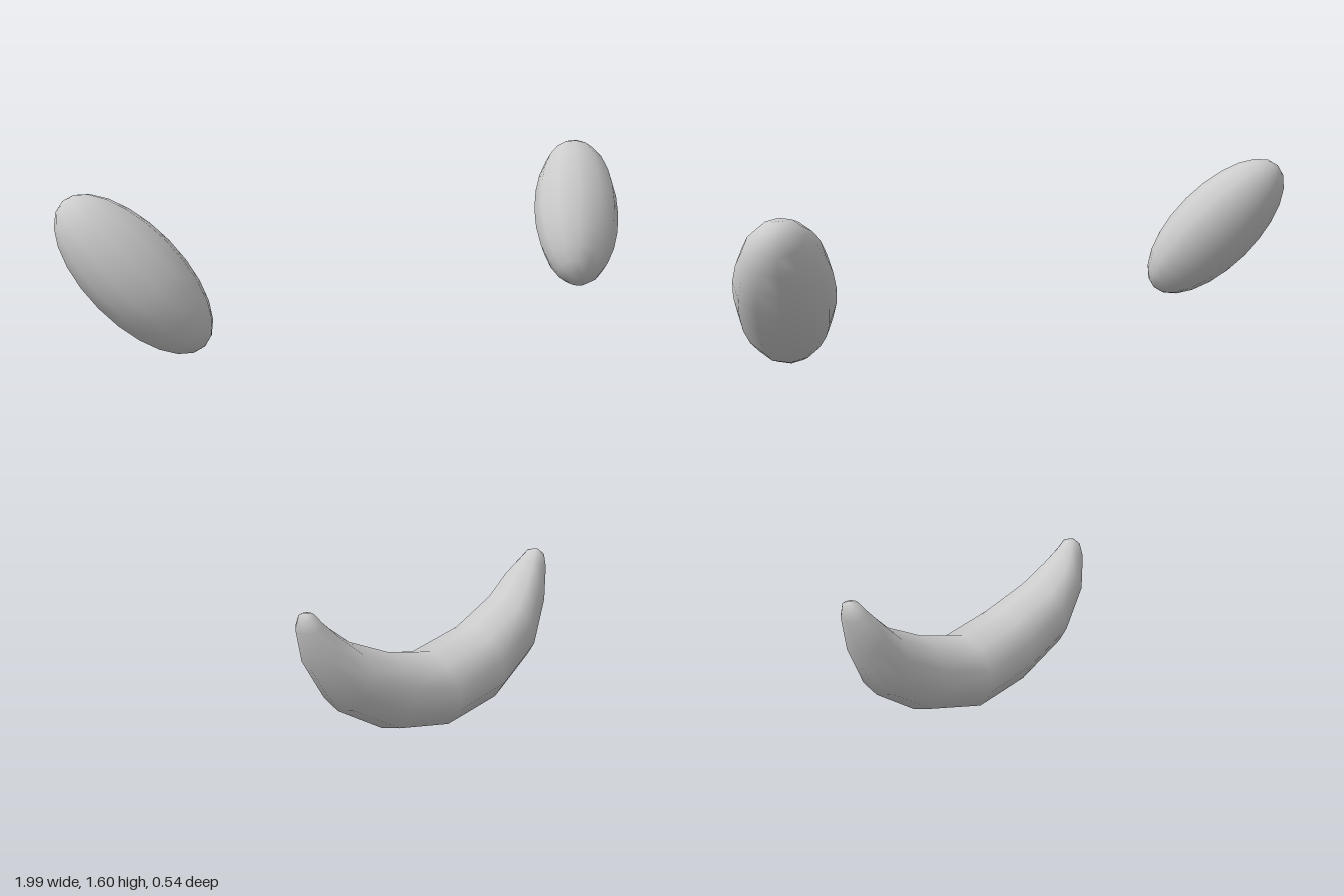
import * as THREE from 'three';

const material = new THREE.MeshStandardMaterial({ color: 0xcccccc });

// Slanted ellipsoid eye; side is +1 (left) or -1 (right)
function makeEye(side) {
  const mesh = new THREE.Mesh(new THREE.SphereGeometry(1, 12, 12), material);
  const across = new THREE.Vector3(0.88, -0.386 * side, 0.276 * side);
  const along = new THREE.Vector3(0.475 * side, 0.715, -0.512);
  const depth = new THREE.Vector3(0, 0.58, 0.81);
  mesh.quaternion.setFromRotationMatrix(new THREE.Matrix4().makeBasis(across, along, depth));
  mesh.scale.set(0.134, 0.262, 0.122);
  mesh.position.set(0.825 * side, 1.4, -0.105);
  mesh.name = side > 0 ? 'leftEye' : 'rightEye';
  return mesh;
}

// Crescent mouth lofted through elliptical rings, tapering to both tips
function makeMouth() {
  // Half profile: lower x, lower y, upper x, upper y, back z, front z
  const half = [
    [0, 0.003, 0, 0.225, 0.005, 0.272],
    [0.19, 0.04, 0.165, 0.265, 0.018, 0.268],
    [0.345, 0.13, 0.3, 0.325, 0.02, 0.24],
    [0.43, 0.27, 0.365, 0.378, 0.035, 0.2],
    [0.467, 0.385, 0.405, 0.415, 0.07, 0.165],
    [0.465, 0.425, 0.425, 0.437, 0.09, 0.15],
    [0.449, 0.442, 0.449, 0.442, 0.12, 0.12],
  ];
  const mirrored = half.slice(1).reverse().map(([a, b, c, d, e, f]) => [-a, b, -c, d, e, f]);
  const rings = [...mirrored, ...half];
  const sides = 10;
  const positions = [];
  const indices = [];
  rings.forEach(([lx, ly, ux, uy, z0, z1], i) => {
    for (let j = 0; j < sides; j++) {
      const a = (j / sides) * Math.PI * 2;
      const t = (1 + Math.cos(a)) / 2;
      positions.push(
        lx + (ux - lx) * t,
        ly + (uy - ly) * t,
        (z0 + z1) / 2 + Math.sin(a) * (z1 - z0) / 2,
      );
      if (i === 0) continue;
      const k = (j + 1) % sides;
      const p = (i - 1) * sides;
      const q = i * sides;
      if (i > 1) indices.push(p + j, p + k, q + j);
      else indices.push(p, q + k, q + j);
      if (i > 1 && i < rings.length - 1) indices.push(p + k, q + k, q + j);
    }
  });
  const geometry = new THREE.BufferGeometry();
  geometry.setAttribute('position', new THREE.Float32BufferAttribute(positions, 3));
  geometry.setIndex(indices);
  geometry.computeVertexNormals();
  const mesh = new THREE.Mesh(geometry, material);
  mesh.name = 'mouth';
  return mesh;
}

export function createModel() {
  const group = new THREE.Group();
  group.name = 'smilingFace';
  group.add(makeEye(1), makeEye(-1), makeMouth());
  return group;
}
